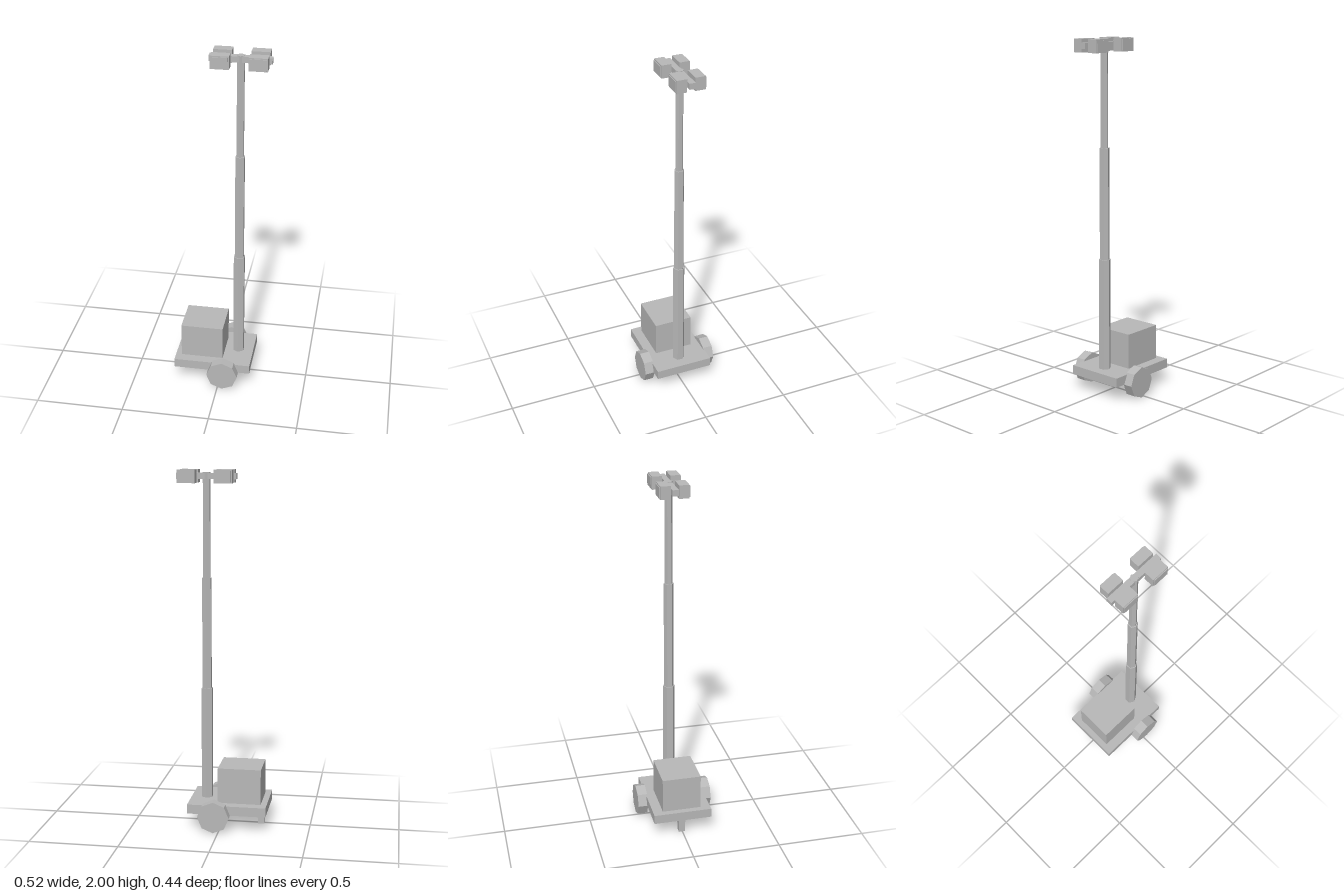
import * as THREE from 'three';

export function createModel() {
  const model = new THREE.Group();
  model.name = 'mobileLightTower';
  const grey = new THREE.MeshStandardMaterial({ color: 0xb8b8b8, flatShading: true });
  grey.name = 'plain grey';

  const add = (name, geometry, x, y, z) => {
    const mesh = new THREE.Mesh(geometry, grey);
    mesh.name = name;
    mesh.position.set(x, y, z);
    model.add(mesh);
    return mesh;
  };
  // Box given by its low and high limits on each axis
  const box = (name, [x0, x1], [y0, y1], [z0, z1]) =>
    add(name, new THREE.BoxGeometry(x1 - x0, y1 - y0, z1 - z0),
      (x0 + x1) / 2, (y0 + y1) / 2, (z0 + z1) / 2);

  const midZ = -0.002;

  // Trailer bed, generator and front support
  box('trailerBed', [-0.262, 0.182], [0.09, 0.143], [midZ - 0.167, midZ + 0.167]);
  box('generatorBox', [-0.228, 0.016], [0.143, 0.345], [midZ - 0.111, midZ + 0.111]);
  box('supportLeg', [-0.239, -0.202], [0, 0.09], [midZ - 0.0185, midZ + 0.0185]);

  // Eight-sided wheels
  for (const side of [-1, 1]) {
    const wheel = add(side > 0 ? 'frontWheel' : 'backWheel',
      new THREE.CylinderGeometry(0.0893, 0.0893, 0.056, 8), 0.027, 0.0897, midZ + side * 0.19);
    wheel.rotation.x = Math.PI / 2;
  }

  // Telescoping six-sided mast
  const sections = [
    ['mastLower', 0.034, 0.143, 0.782],
    ['mastMiddle', 0.028, 0.782, 1.408],
    ['mastUpper', 0.022, 1.408, 1.985],
  ];
  for (const [name, r, y0, y1] of sections) {
    add(name, new THREE.CylinderGeometry(r, r, y1 - y0, 6), 0.094, (y0 + y1) / 2, midZ);
  }

  // Crossbar with two lamps on each side, each with a slim lens
  box('crossbar', [-0.073, 0.261], [1.948, 1.981], [midZ - 0.017, midZ + 0.017]);
  for (const x of [-0.007, 0.195]) {
    for (const side of [-1, 1]) {
      add('lampHousing', new THREE.BoxGeometry(0.1, 0.072, 0.056), x, 1.964, midZ + side * 0.0505);
      add('lampLens', new THREE.BoxGeometry(0.089, 0.06, 0.005), x, 1.964, midZ + side * 0.081);
    }
  }
  return model;
}
